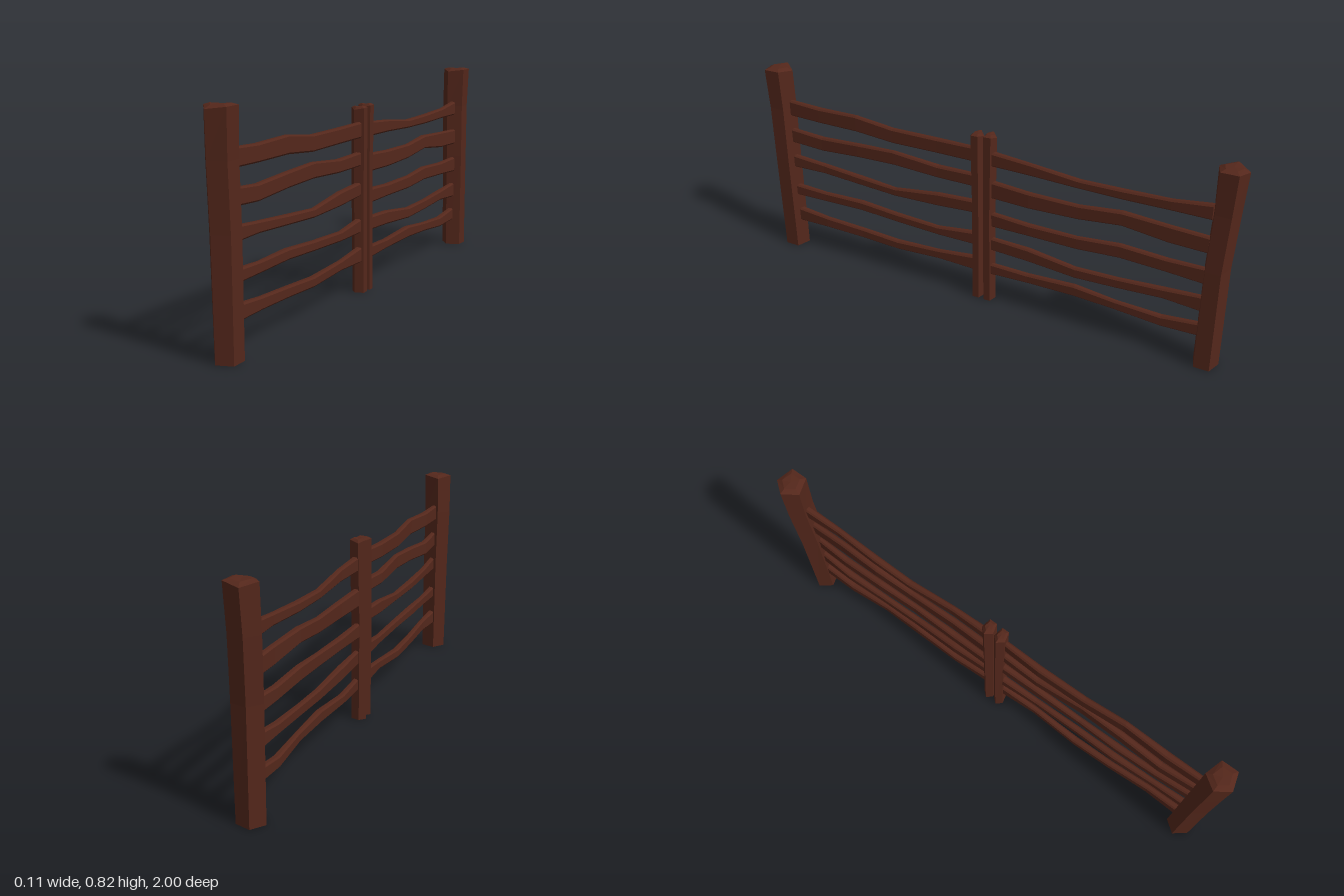
import * as THREE from 'three';

const wood = new THREE.MeshStandardMaterial({ color: 0x54271b, flatShading: true });

// Skins a list of equal-length rings of [x, y, z] and closes both ends with fans.
function loft(name, rings) {
  const n = rings[0].length, last = rings.length - 1;
  const pos = rings.flat(2), idx = [];
  const centre = ring => [0, 1, 2].map(k => ring.reduce((s, p) => s + p[k], 0) / n);
  for (let i = 0; i < last; i++) {
    for (let j = 0; j < n; j++) {
      const a = i * n + j, b = i * n + (j + 1) % n;
      idx.push(a, a + n, b, b, a + n, b + n);
    }
  }
  const start = rings.length * n, end = start + 1;
  pos.push(...centre(rings[0]), ...centre(rings[last]));
  for (let j = 0; j < n; j++) {
    const k = (j + 1) % n;
    idx.push(start, j, k, end, last * n + k, last * n + j);
  }
  const indexed = new THREE.BufferGeometry();
  indexed.setAttribute('position', new THREE.Float32BufferAttribute(pos, 3));
  indexed.setIndex(idx);
  const geometry = indexed.toNonIndexed();
  geometry.computeVertexNormals();
  const mesh = new THREE.Mesh(geometry, wood);
  mesh.name = name;
  return mesh;
}

// Five-sided post with its sharp edge towards -x. Levels: [y, x, z, radiusX, radiusZ].
function post(name, levels, cut) {
  const ring = ([y, x, z, rx, rz], wobble = 0) => Array.from({ length: 5 }, (_, j) => {
    const a = Math.PI + j * Math.PI * 0.4;
    return [x + rx * Math.cos(a), y + wobble * [0.3, -1, 0.4, 0.2, -0.8][j], z + rz * Math.sin(a)];
  });
  const [y, x, z, rx, rz] = levels[levels.length - 1];
  const rings = levels.map((l, i) => ring(l, i === levels.length - 1 ? cut : 0));
  rings.push(ring([y + cut, x, z, rx * 0.6, rz * 0.6], cut * 0.4)); // worn top
  return loft(name, rings);
}

// Wavy plank with slightly chamfered edges. Stations run towards -z.
function rail(name, zs, tops, bottoms, shift) {
  const c = 0.006;
  return loft(name, zs.map((z, i) => {
    const t = tops[i], b = bottoms[i];
    const mid = 0.006 + 0.004 * Math.sin(i * 1.9 + shift);
    const w = 0.0125 + 0.0015 * Math.cos(i * 2.3 + shift);
    const l = mid - w, r = mid + w;
    return [
      [r, b + c, z], [r, t - c, z], [r - c, t, z], [l + c, t, z],
      [l, t - c, z], [l, b + c, z], [l + c, b, z], [r - c, b, z],
    ];
  }));
}

export function createModel() {
  const group = new THREE.Group();
  group.name = 'fence';

  // Tall end posts
  group.add(post('frontEndPost', [
    [0, 0.005, 0.932, 0.053, 0.051],
    [0.42, 0.004, 0.936, 0.057, 0.052],
    [0.65, 0, 0.94, 0.058, 0.054],
    [0.815, 0.003, 0.944, 0.06, 0.057],
  ], 0.008));
  group.add(post('backEndPost', [
    [0, 0.005, -0.932, 0.053, 0.051],
    [0.42, 0.004, -0.931, 0.057, 0.049],
    [0.65, 0, -0.94, 0.058, 0.051],
    [0.815, 0.003, -0.944, 0.06, 0.057],
  ], 0.008));

  // Pair of slim middle posts
  group.add(post('frontMiddlePost', [
    [0, 0.002, 0.024, 0.031, 0.024],
    [0.4, 0, 0.024, 0.033, 0.023],
    [0.725, 0.003, 0.026, 0.034, 0.025],
  ], 0.007));
  group.add(post('backMiddlePost', [
    [0, 0.002, -0.026, 0.031, 0.024],
    [0.4, 0, -0.024, 0.033, 0.023],
    [0.73, 0.003, -0.028, 0.033, 0.026],
  ], 0.008));

  // Rails of each panel, lowest first: [top heights, bottom heights]
  const frontZ = [0.897, 0.75, 0.57, 0.4, 0.2, 0.03];
  const frontRails = [
    [[0.178, 0.168, 0.158, 0.15, 0.166, 0.184], [0.118, 0.122, 0.117, 0.112, 0.127, 0.122]],
    [[0.294, 0.288, 0.291, 0.283, 0.277, 0.296], [0.246, 0.247, 0.251, 0.246, 0.24, 0.24]],
    [[0.435, 0.422, 0.41, 0.402, 0.428, 0.438], [0.38, 0.381, 0.374, 0.368, 0.374, 0.386]],
    [[0.556, 0.545, 0.559, 0.568, 0.55, 0.557], [0.494, 0.487, 0.503, 0.509, 0.5, 0.503]],
    [[0.682, 0.677, 0.685, 0.665, 0.667, 0.673], [0.615, 0.615, 0.618, 0.604, 0.608, 0.612]],
  ];
  const backZ = [-0.03, -0.2, -0.4, -0.57, -0.75, -0.897];
  const backRails = [
    [[0.172, 0.166, 0.18, 0.166, 0.155, 0.172], [0.123, 0.128, 0.134, 0.128, 0.112, 0.117]],
    [[0.29, 0.284, 0.263, 0.267, 0.277, 0.292], [0.235, 0.23, 0.219, 0.225, 0.235, 0.227]],
    [[0.402, 0.396, 0.4, 0.413, 0.406, 0.413], [0.342, 0.348, 0.348, 0.358, 0.353, 0.347]],
    [[0.541, 0.535, 0.534, 0.551, 0.546, 0.542], [0.47, 0.47, 0.476, 0.495, 0.478, 0.476]],
    [[0.668, 0.658, 0.637, 0.642, 0.653, 0.67], [0.61, 0.61, 0.603, 0.604, 0.61, 0.61]],
  ];
  frontRails.forEach(([t, b], i) => group.add(rail('frontRail' + (i + 1), frontZ, t, b, i)));
  backRails.forEach(([t, b], i) => group.add(rail('backRail' + (i + 1), backZ, t, b, i + 2.5)));

  return group;
}
